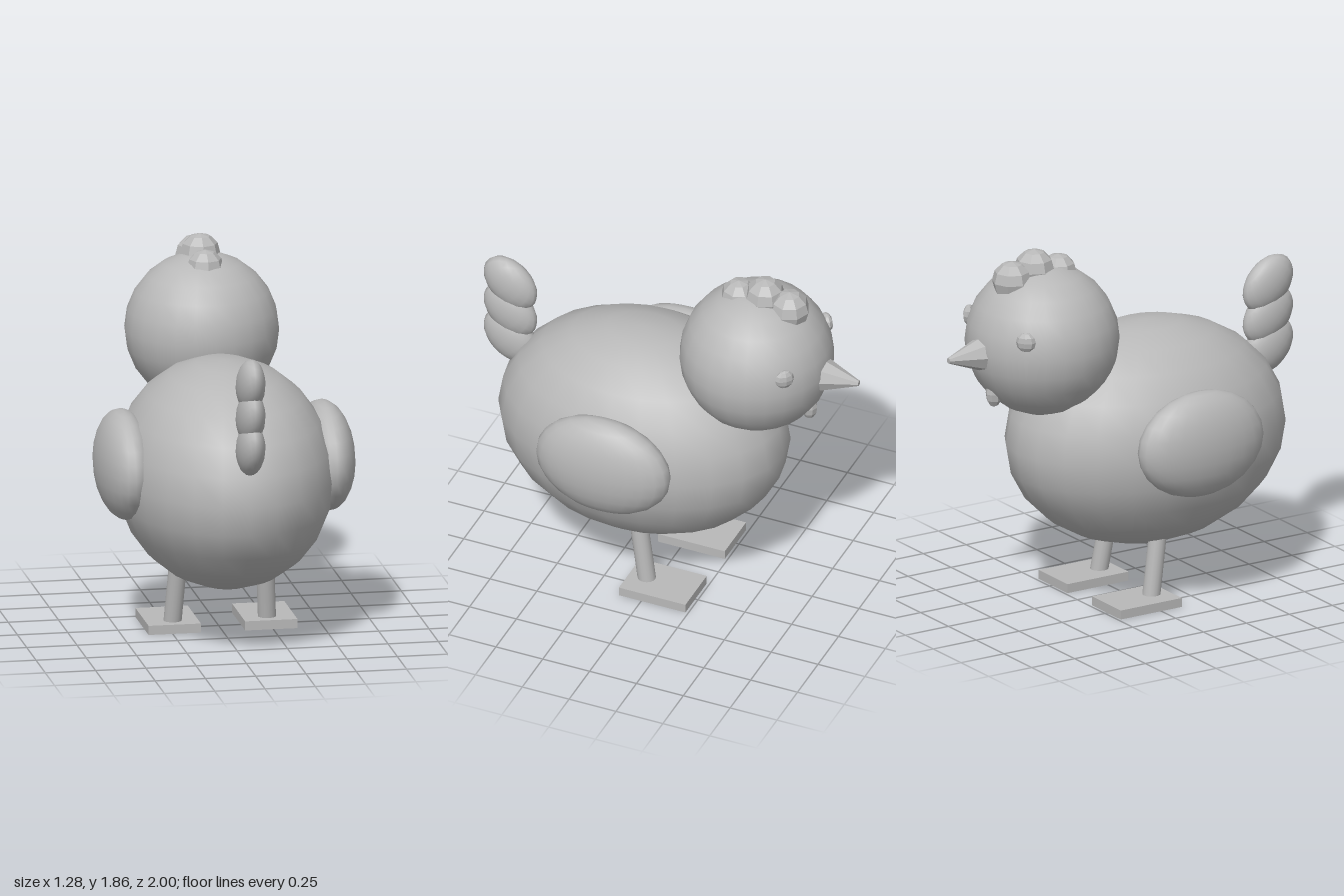
import * as THREE from 'three';

export function createModel() {
  const group = new THREE.Group();
  group.name = 'bird';
  const grey = new THREE.MeshStandardMaterial({ color: 0xb8b8b8 });
  grey.name = 'plain grey';
  // Same colour with faceted shading for the low-poly details
  const facetGrey = new THREE.MeshStandardMaterial({ color: 0xb8b8b8, flatShading: true });
  facetGrey.name = 'faceted grey';

  const add = (name, geometry, material, x, y, z) => {
    const mesh = new THREE.Mesh(geometry, material);
    mesh.name = name;
    mesh.position.set(x, y, z);
    group.add(mesh);
    return mesh;
  };
  const ellipsoid = (rx, ry, rz, w = 24, h = 12) =>
    new THREE.SphereGeometry(1, w, h).scale(rx, ry, rz);

  // Body and head
  add('body', ellipsoid(0.535, 0.565, 0.745), grey, 0, 0.815, 0.145);
  add('head', ellipsoid(0.38, 0.38, 0.38), grey, 0, 1.39, -0.455);

  // Beak: blunt cone pointing to -z
  const beak = new THREE.CylinderGeometry(0.014, 0.12, 0.28, 8).rotateX(-Math.PI / 2);
  add('beak', beak, facetGrey, 0, 1.37, -0.86);

  // Wattle under the beak
  add('wattle', ellipsoid(0.04, 0.07, 0.042, 8, 6), facetGrey, 0, 1.155, -0.735);

  // Comb: three faceted knobs over the crown
  for (const [y, z, r] of [[1.715, -0.63, 0.1], [1.755, -0.5, 0.1], [1.715, -0.36, 0.092]]) {
    add('combKnob', ellipsoid(r, r, r, 8, 6), facetGrey, 0, y, z);
  }

  // Tail: three tilted feathers stacked upwards
  for (const y of [1.11, 1.27, 1.432]) {
    const feather = add('tailFeather', ellipsoid(0.07, 0.117, 0.16, 16, 12), grey, 0, y, 0.86);
    feather.rotation.x = -Math.PI / 4;
  }

  // Paired parts
  for (const s of [-1, 1]) {
    const side = s > 0 ? 'left' : 'right';
    add(side + 'Wing', ellipsoid(0.14, 0.268, 0.355), grey, s * 0.5, 0.877, 0.145);

    const eye = add(side + 'Eye', ellipsoid(0.05, 0.05, 0.028, 8, 6), facetGrey, s * 0.257, 1.485, -0.715);
    eye.rotation.y = -s * Math.PI / 4;

    // Leg leaning back and inwards into the body
    const foot = new THREE.Vector3(s * 0.236, 0.02, 0.026);
    const hip = new THREE.Vector3(s * 0.21, 0.45, 0.097);
    const dir = hip.clone().sub(foot);
    const mid = foot.clone().add(hip).multiplyScalar(0.5);
    const leg = add(side + 'Leg', new THREE.CylinderGeometry(0.045, 0.045, dir.length(), 16), grey, mid.x, mid.y, mid.z);
    leg.quaternion.setFromUnitVectors(new THREE.Vector3(0, 1, 0), dir.normalize());

    add(side + 'Foot', new THREE.BoxGeometry(0.26, 0.046, 0.355), grey, s * 0.24, 0.023, -0.058);
  }
  return group;
}
